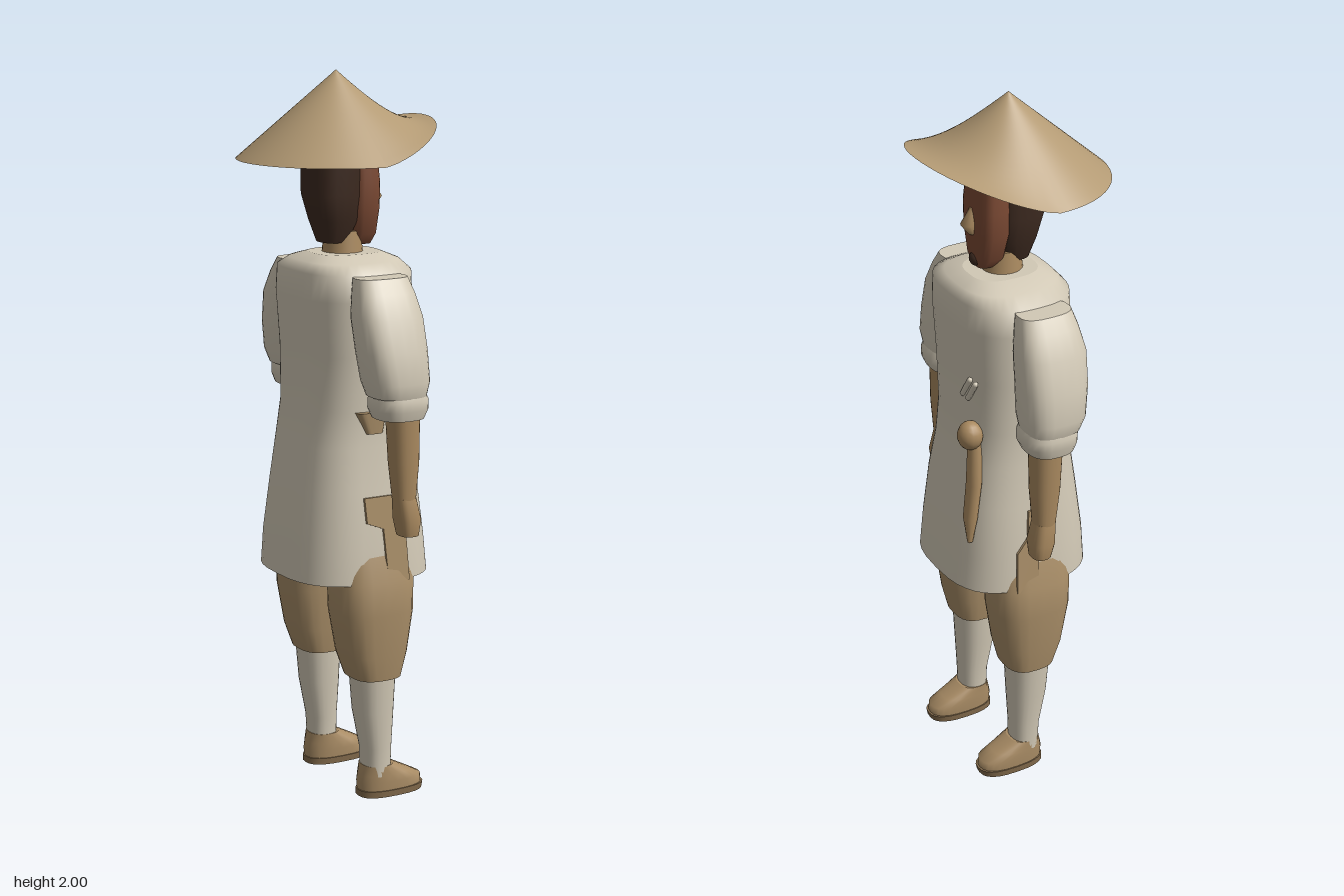
import * as THREE from 'three';

const mat = (name, color, side = THREE.FrontSide) => {
  const m = new THREE.MeshStandardMaterial({ color, side });
  m.name = name;
  return m;
};

// Closed skin over horizontal sections [y, x0, x1, z0, z1], listed bottom to top.
function loft(sections, power = 2, n = 24) {
  const pos = [], idx = [];
  const bend = (v) => Math.sign(v) * Math.pow(Math.abs(v), 2 / power);
  const ring = ([y, x0, x1, z0, z1]) => {
    const start = pos.length / 3;
    for (let i = 0; i < n; i++) {
      const a = (i / n) * Math.PI * 2;
      pos.push((x0 + x1) / 2 + bend(Math.cos(a)) * (x1 - x0) / 2, y,
        (z0 + z1) / 2 + bend(Math.sin(a)) * (z1 - z0) / 2);
    }
    return start;
  };
  const starts = sections.map(ring);
  for (let s = 0; s + 1 < starts.length; s++) {
    for (let i = 0; i < n; i++) {
      const j = (i + 1) % n, a = starts[s], b = starts[s + 1];
      idx.push(a + i, b + i, a + j, b + i, b + j, a + j);
    }
  }
  // Caps have their own vertices so that their edges stay sharp
  [sections[0], sections[sections.length - 1]].forEach((sec, top) => {
    const s = ring(sec), c = pos.length / 3;
    pos.push((sec[1] + sec[2]) / 2, sec[0], (sec[3] + sec[4]) / 2);
    for (let i = 0; i < n; i++) {
      const j = (i + 1) % n;
      idx.push(c, s + (top ? j : i), s + (top ? i : j));
    }
  });
  const g = new THREE.BufferGeometry();
  g.setAttribute('position', new THREE.Float32BufferAttribute(pos, 3));
  g.setIndex(idx);
  g.computeVertexNormals();
  return g;
}

// Conical hat whose brim is turned up towards +x.
function hatGeometry() {
  const R = 0.27;
  const profile = [];
  for (let i = 0; i <= 14; i++) {
    const t = 1 - i / 14;
    profile.push(new THREE.Vector2(Math.max(R * t, 0.0005), 2 - 0.235 * t));
  }
  const g = new THREE.LatheGeometry(profile, 56);
  const p = g.attributes.position;
  for (let i = 0; i < p.count; i++) {
    const x = p.getX(i), r = Math.hypot(x, p.getZ(i));
    const lift = 0.105 * Math.pow(r / R, 3) * Math.pow(Math.max(0, x / r), 1.2);
    p.setY(i, p.getY(i) + lift);
  }
  g.computeVertexNormals();
  return g;
}

export function createModel() {
  const group = new THREE.Group();
  const cloth = mat('offWhiteCloth', 0xd2c9b6);
  const straw = mat('straw', 0xb39a74, THREE.DoubleSide);
  const trouser = mat('tanTrousers', 0xa98e68);
  const skin = mat('skin', 0xaa8a60);
  const hairMat = mat('darkHair', 0x3d2a20);
  const faceMat = mat('reddishBrownFace', 0x7c4a34);
  const shoeMat = mat('shoeTan', 0xa98c65);
  const soleMat = mat('soleBrown', 0x80684a);

  const add = (name, geometry, material, x = 0, y = 0, z = 0) => {
    const m = new THREE.Mesh(geometry, material);
    m.name = name;
    m.position.set(x, y, z);
    group.add(m);
    return m;
  };

  // Hat and head
  add('hat', hatGeometry(), straw);
  add('hair', loft([
    [1.54, -0.05, 0.025, -0.045, 0.045], [1.6, -0.07, 0.052, -0.068, 0.068],
    [1.67, -0.09, 0.06, -0.08, 0.08], [1.8, -0.09, 0.064, -0.08, 0.08]], 2.6), hairMat);
  add('face', loft([
    [1.53, 0.04, 0.1, -0.03, 0.03], [1.56, 0.03, 0.108, -0.055, 0.055],
    [1.63, 0.02, 0.112, -0.073, 0.073], [1.7, 0.02, 0.112, -0.077, 0.077],
    [1.78, 0.02, 0.105, -0.07, 0.07]], 3), faceMat);
  add('neck', loft([
    [1.47, -0.04, 0.08, -0.06, 0.06], [1.57, -0.03, 0.07, -0.05, 0.05]]), skin);
  add('nose', loft([
    [1.625, 0.09, 0.118, -0.014, 0.014], [1.655, 0.09, 0.142, -0.021, 0.021],
    [1.7, 0.09, 0.114, -0.009, 0.009]], 2, 10), skin);
  const beard = add('chinBeard', new THREE.SphereGeometry(0.02, 12, 8), hairMat, 0.1, 1.552, 0);
  beard.scale.set(0.8, 1, 1);

  // Long tunic
  add('tunic', loft([
    [0.63, -0.185, 0.232, -0.222, 0.222], [0.73, -0.178, 0.222, -0.218, 0.218],
    [0.88, -0.16, 0.205, -0.2, 0.2], [1.0, -0.143, 0.182, -0.186, 0.186],
    [1.1, -0.127, 0.172, -0.182, 0.182], [1.25, -0.125, 0.174, -0.192, 0.192],
    [1.4, -0.135, 0.182, -0.2, 0.2], [1.47, -0.132, 0.18, -0.195, 0.195],
    [1.495, -0.11, 0.16, -0.145, 0.145], [1.512, -0.07, 0.12, -0.085, 0.085]], 2.8, 36), cloth);
  const button = add('collarKnot', new THREE.SphereGeometry(0.015, 10, 8), cloth, 0.1, 1.494, 0.1);
  button.scale.set(1.1, 0.6, 0.7);

  // Knotted sash end and folds on the front
  const knot = add('sashKnot', new THREE.SphereGeometry(0.036, 14, 10), skin, 0.176, 1.09, -0.105);
  knot.scale.y = 1.15;
  add('sashTail', loft([
    [0.78, 0.19, 0.206, -0.146, -0.134], [0.85, 0.172, 0.21, -0.155, -0.105],
    [0.95, 0.155, 0.194, -0.15, -0.092], [1.07, 0.14, 0.182, -0.125, -0.085]], 2, 12), skin);
  for (const z of [-0.075, -0.105]) {
    const fold = add('tunicFold', new THREE.CapsuleGeometry(0.008, 0.07, 4, 8), cloth, 0.17, 1.222, z);
    fold.rotation.x = -0.6;
  }

  // Slit panel seen in the side of the tunic, drawn in x and y
  const slit = new THREE.Shape([
    [0.035, 0.63], [0.1, 0.63], [0.095, 0.75], [0.06, 0.79],
    [0.055, 0.87], [-0.03, 0.87], [-0.025, 0.8], [0.025, 0.78]]
    .map(([x, y]) => new THREE.Vector2(x, y - 0.63)));
  const slitGeometry = new THREE.ExtrudeGeometry(slit, { depth: 0.008, bevelEnabled: false });
  slitGeometry.translate(0, 0, -0.004);

  for (const s of [1, -1]) {
    const side = s > 0 ? 'left' : 'right';
    const fromAxis = (rows) => rows.map(([y, x0, x1, a, b]) =>
      (s > 0 ? [y, x0, x1, a, b] : [y, x0, x1, -b, -a]));
    const part = (name, rows, material, power = 2.3) =>
      add(side + name, loft(fromAxis(rows), power), material);

    const panel = add(side + 'SlitPanel', slitGeometry, trouser, 0, 0.63, s * 0.229);
    panel.rotation.x = -s * 0.09;
    part('SashSide', [[1.04, -0.01, 0.04, 0.15, 0.195], [1.1, -0.04, 0.05, 0.15, 0.2]], trouser, 4);

    // Sleeve, cuff, forearm and hand
    part('Sleeve', [
      [1.16, -0.045, 0.105, 0.2, 0.345], [1.2, -0.06, 0.112, 0.19, 0.356],
      [1.28, -0.073, 0.112, 0.185, 0.343], [1.37, -0.08, 0.11, 0.175, 0.317],
      [1.43, -0.07, 0.1, 0.17, 0.285], [1.47, -0.06, 0.09, 0.165, 0.258]], cloth, 2.8);
    part('Cuff', [
      [1.1, -0.03, 0.1, 0.205, 0.34], [1.125, -0.04, 0.112, 0.195, 0.347],
      [1.15, -0.04, 0.112, 0.195, 0.349], [1.175, -0.03, 0.1, 0.205, 0.34]], cloth, 2.6);
    part('Forearm', [
      [0.87, 0.02, 0.08, 0.25, 0.315], [0.98, 0.008, 0.088, 0.24, 0.324],
      [1.12, 0.0, 0.09, 0.235, 0.326]], skin);
    part('Hand', [
      [0.775, 0.035, 0.088, 0.25, 0.315], [0.82, 0.025, 0.093, 0.243, 0.324],
      [0.88, 0.02, 0.08, 0.25, 0.315]], skin, 2.6);

    // Baggy trouser leg, stocking and shoe
    part('TrouserLeg', [
      [0.35, -0.04, 0.102, 0.072, 0.226], [0.42, -0.066, 0.12, 0.062, 0.236],
      [0.54, -0.088, 0.138, 0.054, 0.244], [0.63, -0.09, 0.14, 0.052, 0.242],
      [0.75, -0.08, 0.12, 0.03, 0.205]], trouser, 2.8);
    part('Stocking', [
      [0.06, 0.0, 0.078, 0.108, 0.2], [0.14, -0.004, 0.08, 0.107, 0.202],
      [0.25, -0.025, 0.085, 0.095, 0.212], [0.36, -0.034, 0.09, 0.09, 0.218]], cloth);
    part('Sole', [
      [0, -0.015, 0.182, 0.1, 0.206], [0.018, -0.015, 0.186, 0.1, 0.206]], soleMat, 2.6);
    part('Shoe', [
      [0.018, -0.012, 0.18, 0.103, 0.203], [0.042, -0.014, 0.178, 0.102, 0.204],
      [0.062, -0.01, 0.14, 0.104, 0.202], [0.09, -0.003, 0.085, 0.106, 0.2]], shoeMat, 2.5);
  }
  return group;
}
